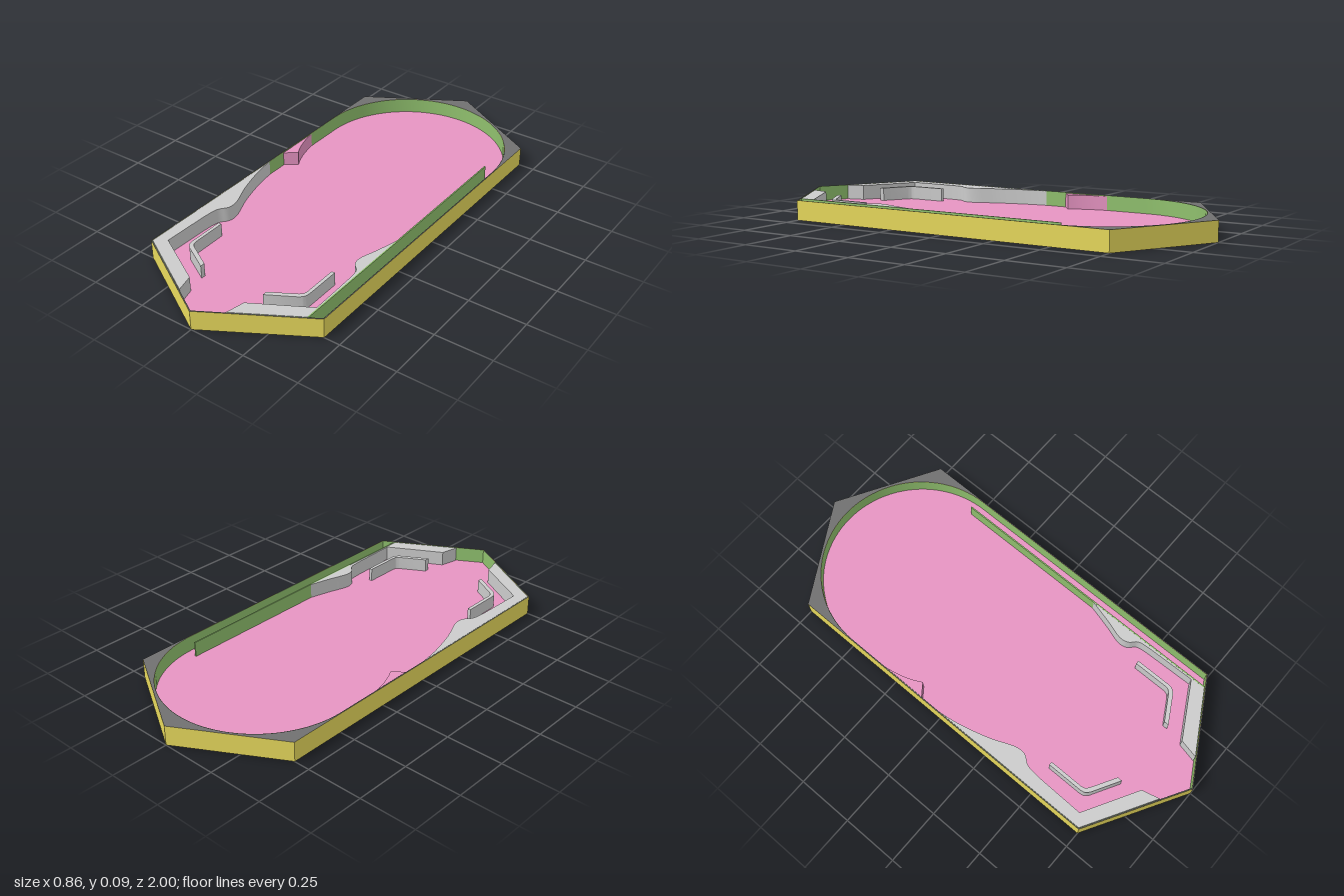
import * as THREE from 'three';
import { toCreasedNormals } from 'three/addons/utils/BufferGeometryUtils.js';

const HEIGHT = 0.087, FLOOR = 0.02;
const mat = (color) => new THREE.MeshStandardMaterial({ color, side: THREE.DoubleSide });
const pink = mat(0xe694c2), yellow = mat(0xe6d85c), green = mat(0x8fbf6d);
const dark = mat(0x707070), grey = mat(0xcccccc);

// Plan points are [x, z]; the slab rises from y0 to y1
const plan = (pts) => pts.map(([x, z]) => new THREE.Vector2(x, -z));
function slab(name, pts, y0, y1, material, hole) {
  const shape = new THREE.Shape(plan(pts));
  if (hole) shape.holes.push(new THREE.Path(plan(hole)));
  const geo = new THREE.ExtrudeGeometry(shape, { depth: y1 - y0, bevelEnabled: false });
  geo.rotateX(-Math.PI / 2).translate(0, y0, 0);
  const mesh = new THREE.Mesh(toCreasedNormals(geo, 0.5), material);
  mesh.name = name;
  return mesh;
}

// Thin vertical sheet following a closed plan outline
function sheet(name, pts, y0, y1, material) {
  const loop = [...pts, pts[0]];
  const geo = new THREE.PlaneGeometry(1, 1, loop.length - 1, 1);
  const pos = geo.attributes.position;
  for (let i = 0; i < pos.count; i++) {
    const [x, z] = loop[i % loop.length];
    pos.setXYZ(i, x, i < loop.length ? y1 : y0, z);
  }
  const mesh = new THREE.Mesh(toCreasedNormals(geo, 0.5), material);
  mesh.name = name;
  return mesh;
}

// Smooth run through a few plan points
const smooth = (pts, n = 24) =>
  new THREE.SplineCurve(pts.map((p) => new THREE.Vector2(...p))).getPoints(n).map((v) => [v.x, v.y]);

export function createModel() {
  const group = new THREE.Group();

  // Elongated hexagonal base
  const hex = [[0, -1], [0.43, -0.75], [0.43, 0.75], [0, 1], [-0.43, 0.75], [-0.43, -0.75]];
  group.add(slab('playfield', hex.map(([x, z]) => [x * 0.998, z * 0.999]), 0, FLOOR, pink));

  // Playing area: pointed front, round back
  const inner = [[-0.426, 0.747], [0, 0.995], [0.426, 0.747]];
  for (let i = 0; i <= 48; i++) {
    const a = (i / 48) * Math.PI;
    inner.push([0.426 * Math.cos(a), -0.495 - 0.426 * Math.sin(a)]);
  }
  group.add(slab('outerWall', hex, 0.0005, HEIGHT, [dark, yellow], inner));
  group.add(sheet('innerWallLining', inner.map(([x, z]) => [x * 0.998, z * 0.999]), FLOOR, HEIGHT, green));

  // Long divider of the launch lane
  group.add(slab('laneDivider', [[0.372, -0.52], [0.378, -0.52], [0.378, 0.772], [0.372, 0.776]],
    FLOOR, HEIGHT, green));

  // Contoured side plates running round to the front
  group.add(slab('rightSidePlate', [
    ...smooth([[-0.425, 0], [-0.41, 0.1], [-0.375, 0.23], [-0.335, 0.33], [-0.332, 0.385],
      [-0.362, 0.43], [-0.37, 0.5]]),
    [-0.375, 0.71], [-0.14, 0.843], [-0.12, 0.922], [-0.425, 0.746],
  ], FLOOR, HEIGHT - 0.0005, grey));
  group.add(slab('leftSidePlate', [
    ...smooth([[0.372, 0.18], [0.345, 0.28], [0.32, 0.36], [0.325, 0.405], [0.355, 0.44], [0.362, 0.5]]),
    [0.367, 0.71], [0.13, 0.843], [0.112, 0.926], [0.372, 0.775],
  ], FLOOR, HEIGHT - 0.0005, grey));

  // Pair of bent guide rails
  for (const [name, s, shift] of [['rightGuide', -1, 0], ['leftGuide', 1, -0.01]]) {
    const rail = [
      [0.3, 0.49], ...smooth([[0.3, 0.65], [0.296, 0.672], [0.28, 0.69]], 8), [0.16, 0.758],
      [0.16, 0.737], ...smooth([[0.268, 0.675], [0.281, 0.662], [0.285, 0.645]], 8), [0.285, 0.49],
    ];
    group.add(slab(name, rail.map(([x, z]) => [s * (x + shift), z]), FLOOR, 0.079, grey));
  }

  // Small wedge on the side wall
  group.add(slab('sideWedge', [
    ...smooth([[-0.425, -0.31], [-0.412, -0.24], [-0.392, -0.18], [-0.372, -0.14]], 10), [-0.425, -0.1],
  ], FLOOR, 0.083, pink));

  return group;
}
